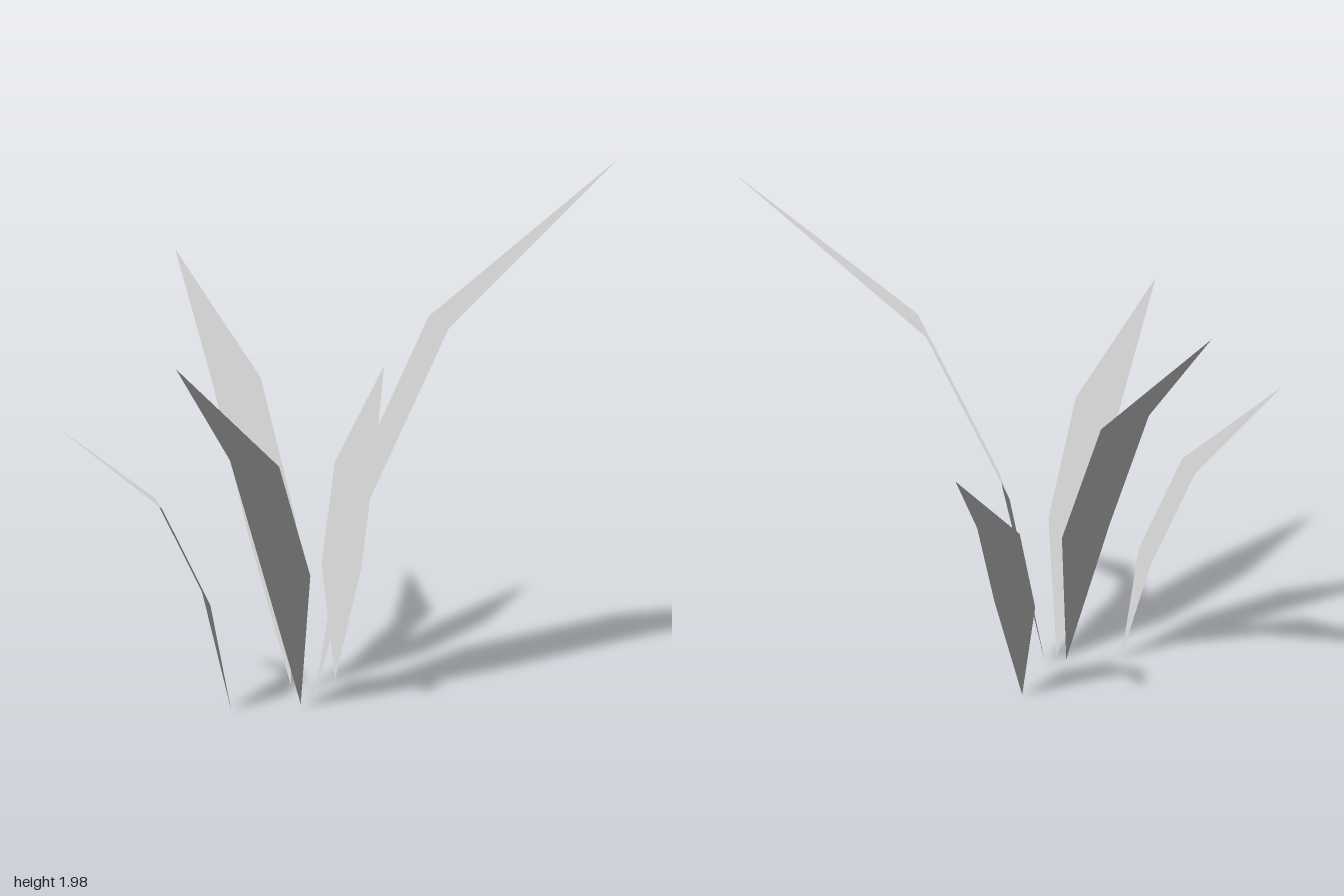
import * as THREE from 'three';

// One folded leaf: base point, two pairs of edge points, tip.
// Corners run counter-clockwise seen from above.
function makeBlade(name, material, base, right, left, tip) {
  const points = [base, right[0], left[0], right[1], left[1], tip];
  const geometry = new THREE.BufferGeometry();
  geometry.setAttribute('position', new THREE.Float32BufferAttribute(points.flat(), 3));
  // Foliage normals point straight up so every leaf is lit evenly
  geometry.setAttribute('normal', new THREE.Float32BufferAttribute(points.flatMap(() => [0, 1, 0]), 3));
  geometry.setIndex([0, 1, 2, 1, 3, 2, 2, 3, 4, 4, 3, 5]);
  const mesh = new THREE.Mesh(geometry, material);
  mesh.name = name;
  return mesh;
}

export function createModel() {
  const group = new THREE.Group();
  group.name = 'grassTuft';
  const leafGrey = new THREE.MeshStandardMaterial({ color: 0xcccccc, side: THREE.DoubleSide });
  leafGrey.name = 'leafGrey';

  // name, base, right edge (low, high), left edge (low, high), tip
  const blades = [
    ['tallLeftBlade', [-0.09, 0.01, 0.14],
      [[0.07, 0.78, 0.28], [0.365, 1.42, 0.287]],
      [[0.07, 0.78, 0.0], [0.365, 1.42, 0.005]], [1.0, 1.99, 0.19]],
    ['backRightBlade', [-0.16, 0.06, 0.06],
      [[-0.11, 0.65, -0.095], [-0.205, 1.155, -0.31]],
      [[-0.31, 0.65, 0.0], [-0.4, 1.155, -0.205]], [-0.475, 1.6, -0.715]],
    ['frontRightBlade', [-0.14, 0.02, 0.155],
      [[-0.285, 0.555, 0.175], [-0.415, 0.995, 0.33]],
      [[-0.13, 0.555, 0.3], [-0.265, 0.995, 0.455]], [-0.635, 1.39, 0.71]],
    ['shortRightBlade', [-0.395, 0.01, 0.13],
      [[-0.485, 0.44, 0.055], [-0.65, 0.805, 0.063]],
      [[-0.475, 0.44, 0.213], [-0.64, 0.805, 0.22]], [-1.0, 1.105, 0.145]],
    ['backLeftBlade', [0.04, 0.01, -0.1],
      [[0.15, 0.435, -0.14], [0.23, 0.8, -0.285]],
      [[0.01, 0.435, -0.215], [0.09, 0.8, -0.36]], [0.345, 1.125, -0.62]],
  ];
  for (const [name, base, right, left, tip] of blades) {
    group.add(makeBlade(name, leafGrey, base, right, left, tip));
  }
  return group;
}
